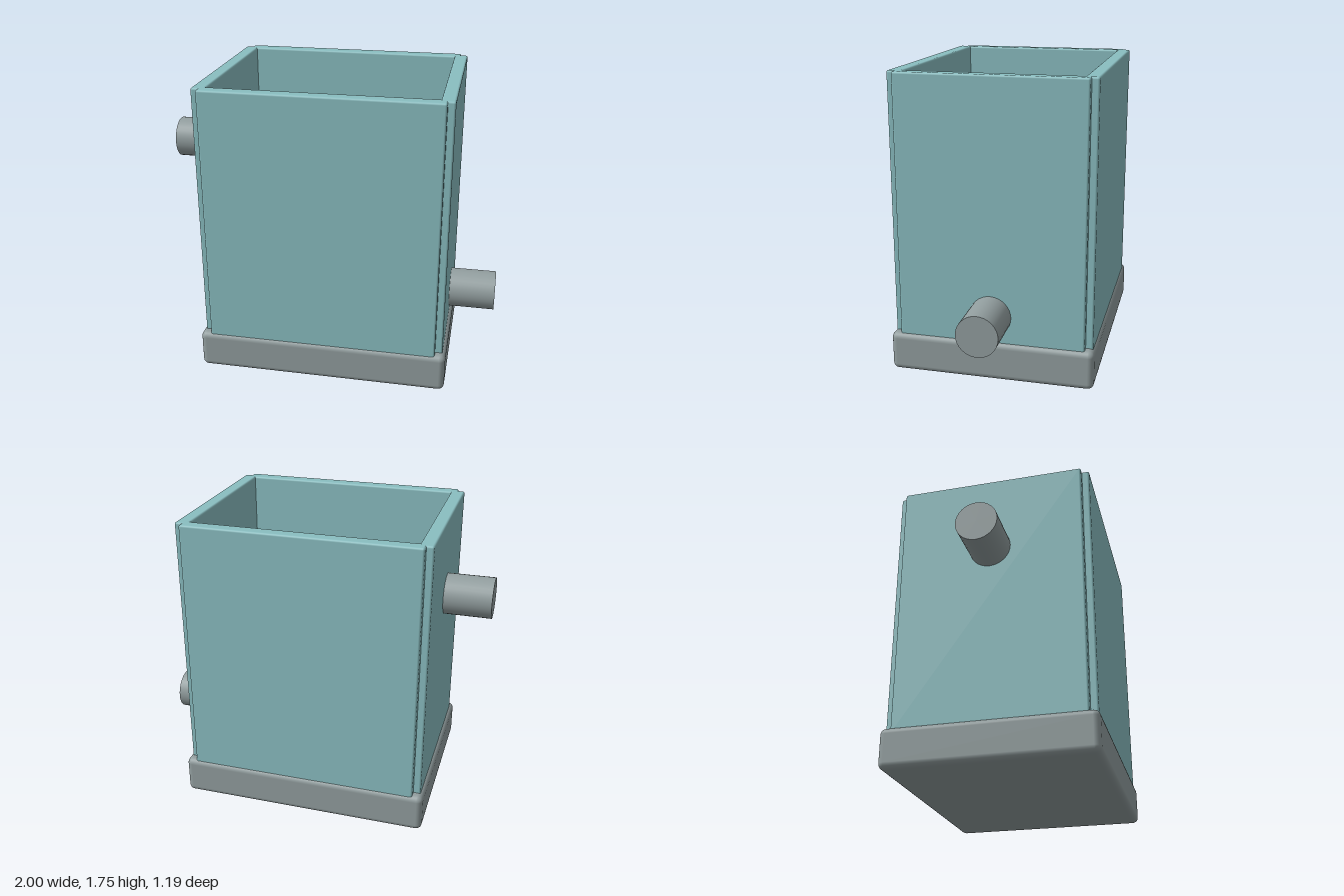
import * as THREE from 'three';
import { RoundedBoxGeometry } from 'three/addons/geometries/RoundedBoxGeometry.js';

export function createModel() {
  const model = new THREE.Group();
  model.name = 'tank';

  const material = (name, color) => {
    const m = new THREE.MeshStandardMaterial({ color });
    m.name = name;
    return m;
  };
  const grey = material('grey metal', 0x929e9f);
  const teal = material('teal panel', 0x8abec1);
  const blue = material('blue water', 0x86b0c9);

  const add = (name, geometry, mat, x, y, z) => {
    const mesh = new THREE.Mesh(geometry, mat);
    mesh.name = name;
    mesh.position.set(x, y, z);
    model.add(mesh);
    return mesh;
  };
  // Rounded block placed by its bottom and top heights
  const block = (name, mat, w, d, bottom, top, radius, x = 0, z = 0) =>
    add(name, new RoundedBoxGeometry(w, top - bottom, d, 3, radius), mat, x, (bottom + top) / 2, z);

  // Plinth and contents
  block('base', grey, 1.485, 1.19, 0, 0.23, 0.035);
  block('water', blue, 1.22, 0.91, 0.2, 1.0, 0.015);

  // Four wall panels, leaving a small notch at each corner
  for (const [side, s] of [['Front', 1], ['Back', -1]]) {
    block('wall' + side, teal, 1.36, 0.08, 0.2, 1.745, 0.012, 0, s * 0.542);
  }
  for (const [side, s] of [['Left', 1], ['Right', -1]]) {
    block('wall' + side, teal, 0.08, 1.08, 0.2, 1.745, 0.012, s * 0.682, 0);
  }

  // Outlet low on the left, inlet high on the right
  for (const [name, s, y] of [['outletPipe', 1, 0.385], ['inletPipe', -1, 1.28]]) {
    const pipe = add(name, new THREE.CylinderGeometry(0.12, 0.12, 0.32, 32), grey, s * 0.84, y, 0);
    pipe.rotation.z = Math.PI / 2;
  }
  return model;
}
